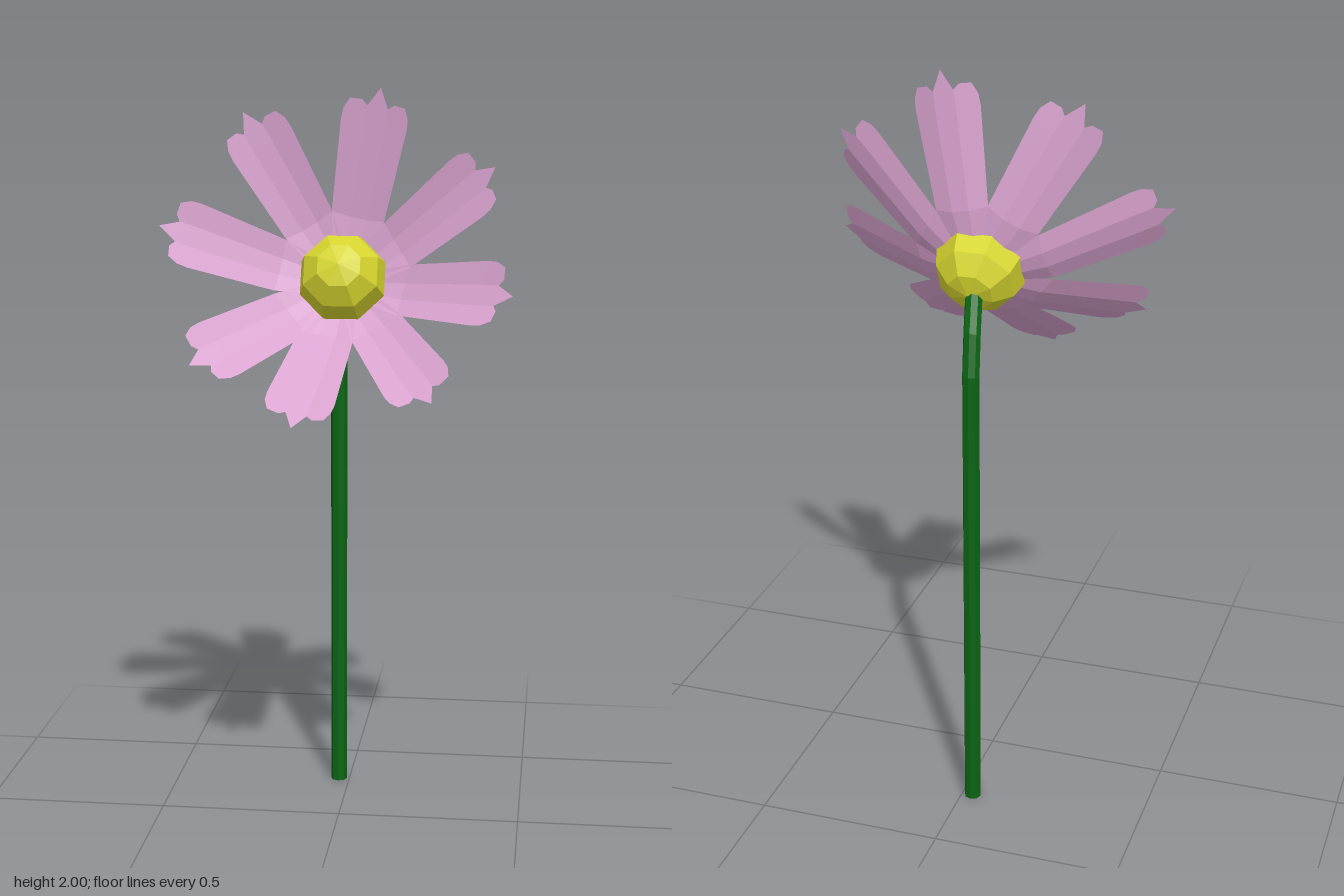
import * as THREE from 'three';

const petalPink = new THREE.MeshStandardMaterial({ color: 0xd9a3cf, flatShading: true, side: THREE.DoubleSide });
petalPink.name = 'petal pink';
const centreYellow = new THREE.MeshStandardMaterial({ color: 0xd6d52f, flatShading: true });
centreYellow.name = 'centre yellow';
const stemGreen = new THREE.MeshStandardMaterial({ color: 0x0b6414, flatShading: true });
stemGreen.name = 'stem green';

function mesh(name, geometry, material) {
  const m = new THREE.Mesh(geometry, material);
  m.name = name;
  return m;
}

// Petal along +y, facing +z: a tapered, cupped strip with a three-lobed end
function petalGeometry() {
  const rows = [[0.03, 0.025], [0.1, 0.055], [0.17, 0.073], [0.385, 0.09]]; // distance, half width
  const half = [[0, 0.475], [0.14, 0.455], [0.32, 0.43], [0.5, 0.44], [0.85, 0.435], [1, 0.41]]; // side, end distance
  const columns = [
    ...half.slice(1).reverse().map(([u, r]) => [-u, r]),
    ...half,
  ];
  const rise = r => (r < 0.17 ? -0.045 + 0.4 * (r - 0.03) : 0.011 + 0.6 * (r - 0.17));
  const positions = [];
  const index = [];
  const n = columns.length;
  for (let j = 0; j <= rows.length; j++) {
    for (const [u, end] of columns) {
      const [r, w] = j < rows.length ? rows[j] : [end, 0.088];
      const cup = Math.max(0, Math.abs(u) - 0.32) * w * 0.28;
      positions.push(u * w, r, rise(r) + cup);
    }
  }
  for (let j = 0; j < rows.length; j++) {
    for (let i = 0; i < n - 1; i++) {
      const a = j * n + i;
      index.push(a, a + 1, a + n + 1, a, a + n + 1, a + n);
    }
  }
  const g = new THREE.BufferGeometry();
  g.setAttribute('position', new THREE.Float32BufferAttribute(positions, 3));
  g.setIndex(index);
  g.computeVertexNormals();
  return g;
}

// Straight eight-sided stem whose top rings bend toward the flower
function stemGeometry() {
  const rings = [ // x, y, z, tilt
    [-0.03, 0, -0.272, 0],
    [-0.03, 1.26, -0.272, 0.12],
    [-0.024, 1.36, -0.243, 0.45],
    [-0.005, 1.47, -0.165, 0.62],
  ];
  const g = new THREE.CylinderGeometry(0.023, 0.023, 1, 8, rings.length - 1);
  const p = g.attributes.position;
  const v = new THREE.Vector3();
  const xAxis = new THREE.Vector3(1, 0, 0);
  for (let i = 0; i < p.count; i++) {
    const [x, y, z, tilt] = rings[Math.round((p.getY(i) + 0.5) * (rings.length - 1))];
    v.set(p.getX(i), 0, p.getZ(i)).applyAxisAngle(xAxis, tilt);
    p.setXYZ(i, v.x + x, v.y + y, v.z + z);
  }
  g.computeVertexNormals();
  return g;
}

export function createModel() {
  const model = new THREE.Group();
  model.name = 'flower';
  model.add(mesh('stem', stemGeometry(), stemGreen));

  // Flower head, tipped up from the front
  const head = new THREE.Group();
  head.name = 'flowerHead';
  head.position.set(0, 1.495, -0.092);
  head.rotation.x = -0.445;
  model.add(head);

  const ball = new THREE.SphereGeometry(0.123, 8, 6);
  ball.rotateX(Math.PI / 2);
  ball.rotateZ(Math.PI / 8);
  head.add(mesh('flowerCentre', ball, centreYellow));

  // Eight slightly uneven petals, clockwise from the top
  const petal = petalGeometry();
  [12, 59, 103, 146, 191, 230, 279, 326].forEach((degrees, i) => {
    const m = mesh('petal' + (i + 1), petal, petalPink);
    m.rotation.z = -THREE.MathUtils.degToRad(degrees);
    head.add(m);
  });
  return model;
}
